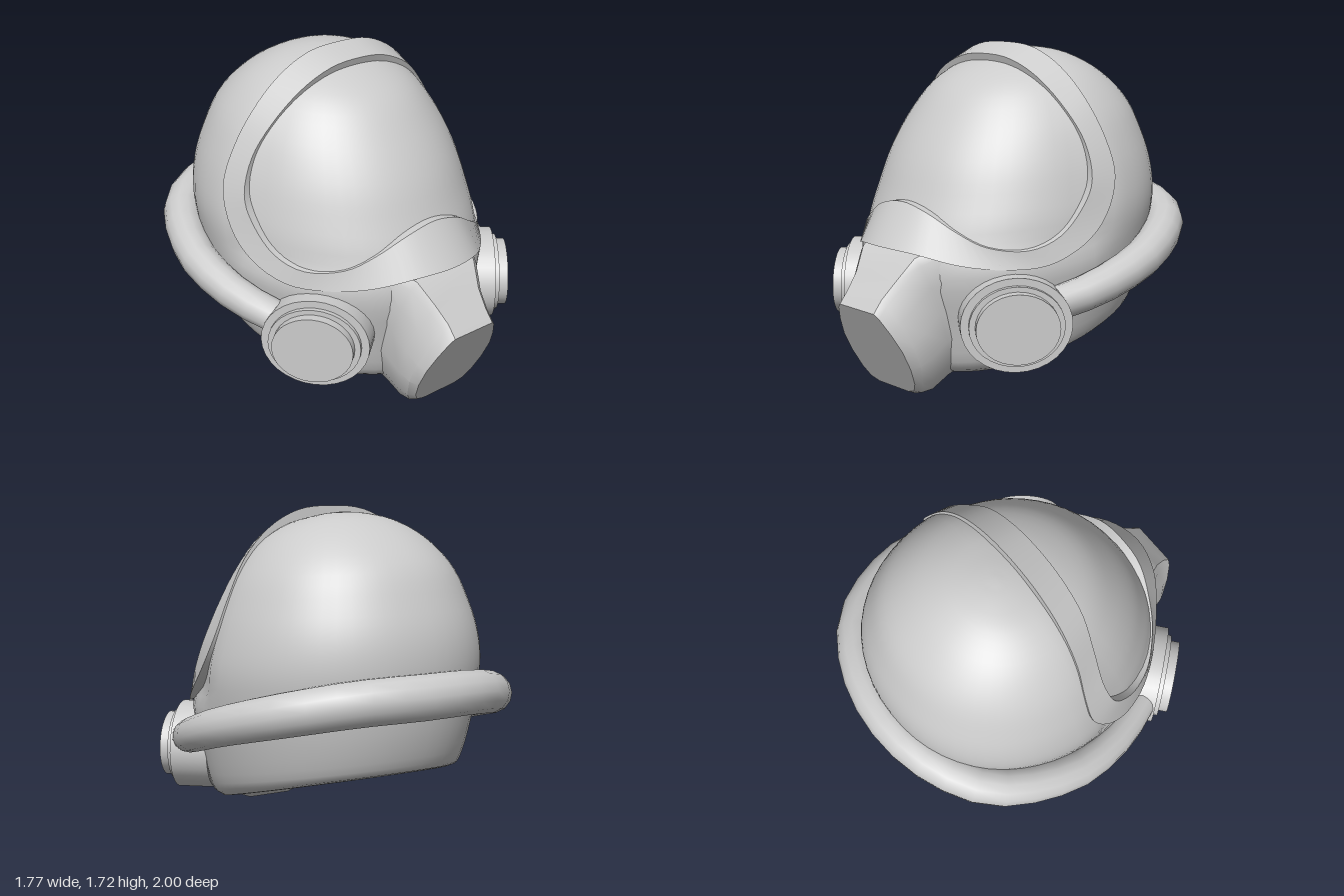
import * as THREE from 'three';
import { toCreasedNormals } from 'three/addons/utils/BufferGeometryUtils.js';

const V = (x, y, z) => new THREE.Vector3(x, y, z);
const grey = new THREE.MeshStandardMaterial({ color: 0xcccccc, side: THREE.DoubleSide });

// Skin a list of closed rings of points; optionally join the last ring to the first
function loft(rings, joinEnds = false, crease = 0.6) {
  const n = rings[0].length, m = rings.length, index = [];
  for (let i = 0; i < (joinEnds ? m : m - 1); i++) {
    for (let j = 0; j < n; j++) {
      const a = i * n + j, b = i * n + (j + 1) % n;
      const d = ((i + 1) % m) * n + j, c = ((i + 1) % m) * n + (j + 1) % n;
      index.push(a, b, c, a, c, d);
    }
  }
  const g = new THREE.BufferGeometry().setFromPoints(rings.flat());
  g.setIndex(index);
  return toCreasedNormals(g, crease);
}

function add(parent, name, geometry) {
  const mesh = new THREE.Mesh(geometry, grey);
  mesh.name = name;
  parent.add(mesh);
  return mesh;
}

// Tilted oval ring given by its front and back points and half width
function ovalRing(zf, yf, zb, yb, w, lift = 0) {
  const ring = [], zc = (zf + zb) / 2, zr = (zf - zb) / 2;
  for (let j = 0; j < 56; j++) {
    const a = j / 56 * Math.PI * 2, s = Math.sin(a), c = Math.cos(a);
    const e = c > 0 ? 1 : 2 / 2.15;
    let x = w * Math.sign(s) * Math.abs(s) ** e;
    const k = Math.sign(c) * Math.abs(c) ** e;
    const y = (yf + yb) / 2 + k * (yf - yb) / 2 + lift, z = zc + k * zr;
    // visor area sits slightly inside the shell
    x *= 1 - 0.055 * THREE.MathUtils.smoothstep(z, -0.1, 0.08) * THREE.MathUtils.smoothstep(y, 0.65, 0.8);
    ring.push(V(x, y, z));
  }
  return ring;
}

function shellGeometry() {
  // front z, front y, back z, back y, half width
  const rows = [
    [0.57, 0.07, -0.72, 0.415, 0.58], [0.65, 0.13, -0.77, 0.45, 0.635], [0.71, 0.35, -0.82, 0.61, 0.685],
    [0.765, 0.60, -0.85, 0.80, 0.725], [0.72, 0.80, -0.865, 0.95, 0.735], [0.655, 0.97, -0.85, 1.10, 0.71],
    [0.58, 1.15, -0.80, 1.25, 0.66], [0.47, 1.33, -0.71, 1.43, 0.575], [0.33, 1.50, -0.56, 1.57, 0.445],
    [0.15, 1.61, -0.40, 1.655, 0.285], [-0.04, 1.67, -0.27, 1.685, 0.12], [-0.155, 1.69, -0.156, 1.69, 0.001],
  ];
  const front = new THREE.CatmullRomCurve3(rows.map(r => V(r[4], r[1], r[0])), false, 'catmullrom', 0.5);
  const back = new THREE.CatmullRomCurve3(rows.map(r => V(r[4], r[3], r[2])), false, 'catmullrom', 0.5);
  // recessed neck lining and its rim
  const rings = [
    ovalRing(-0.07, 0.33, -0.071, 0.33, 0.001),
    ovalRing(0.51, 0.09, -0.67, 0.40, 0.53, 0.08),
    ovalRing(0.51, 0.09, -0.67, 0.40, 0.53),
    ovalRing(0.54, 0.075, -0.70, 0.407, 0.555),
  ];
  for (let i = 0; i <= 40; i++) {
    const f = front.getPoint(i / 40), b = back.getPoint(i / 40);
    rings.push(ovalRing(f.z, f.y, b.z, b.y, f.x));
  }
  return loft(rings, false, 0.7);
}

// Raised band running around the visor opening
function rimGeometry() {
  const outer = [
    [0, 1.72, -0.04], [0.2, 1.70, -0.045], [0.38, 1.61, -0.055], [0.53, 1.46, -0.075], [0.64, 1.27, -0.105],
    [0.715, 1.08, -0.10], [0.745, 0.9, 0], [0.73, 0.77, 0.15], [0.66, 0.685, 0.33], [0.54, 0.67, 0.5],
    [0.38, 0.69, 0.66], [0.2, 0.74, 0.79], [0, 0.755, 0.84],
  ];
  const inner = [
    [0, 1.665, 0.11], [0.18, 1.645, 0.105], [0.36, 1.56, 0.09], [0.51, 1.41, 0.05], [0.62, 1.25, 0.025],
    [0.69, 1.08, 0.05], [0.70, 0.95, 0.13], [0.67, 0.82, 0.26], [0.595, 0.76, 0.41], [0.46, 0.775, 0.55],
    [0.33, 0.84, 0.63], [0.17, 0.93, 0.69], [0, 0.965, 0.70],
  ];
  const closed = pts => {
    const half = pts.map(p => V(...p));
    const other = half.slice(1, -1).reverse().map(p => V(-p.x, p.y, p.z));
    return new THREE.CatmullRomCurve3([...half, ...other], true, 'catmullrom', 0.5);
  };
  const o = closed(outer), i = closed(inner), centre = V(0, 0.95, -0.1), rings = [];
  for (let k = 0; k < 96; k++) {
    const a = o.getPoint(k / 96), b = i.getPoint(k / 96);
    rings.push([a, b, b.clone().lerp(centre, 0.09), a.clone().lerp(centre, 0.13)]);
  }
  return loft(rings, true);
}

// Snout: rings from inside the shell out to the slanted flat face
function muzzleGeometry() {
  const side = [[0.13, 0], [0.155, 0.05], [0.195, 0.22], [0.225, 0.42], [0.225, 0.65], [0.2, 0.85], [0.165, 0.96], [0.11, 1]];
  const outline = [...side.map(([x, s]) => [-x, s]), ...side.slice().reverse()];
  // top z, top y, bottom z, bottom y, top width scale, side width scale
  const rows = [
    [0.66, 0.78, 0.46, 0.10, 2.0, 1.35], [0.79, 0.72, 0.57, 0.05, 1.5, 1.22], [0.875, 0.61, 0.67, 0.0, 1.15, 1.16],
    [0.95, 0.53, 0.735, 0.0, 1.0, 1.12], [1.0, 0.47, 0.77, 0.015, 1, 1], [0.885, 0.243, 0.885, 0.243, 0, 0],
  ];
  return loft(rows.map(([zt, yt, zb, yb, wt, ws]) => outline.map(([x, s]) =>
    V(x * THREE.MathUtils.lerp(wt, ws, Math.min(s / 0.42, 1)), yt + (yb - yt) * s, zt + (zb - zt) * s))), false, 0.5);
}

// Hose around the back of the head, thinner towards its capped ends
function hoseGeometry() {
  const half = [[0.69, 0.495, 0.30], [0.745, 0.53, 0.15], [0.785, 0.585, -0.05], [0.775, 0.66, -0.30], [0.60, 0.76, -0.66], [0.32, 0.81, -0.83]];
  const path = [...half.map(p => V(...p)), V(0, 0.82, -0.885), ...half.slice().reverse().map(([x, y, z]) => V(-x, y, z))];
  const curve = new THREE.CatmullRomCurve3(path), steps = 24;
  const { normals, binormals } = curve.computeFrenetFrames(steps);
  const ring = (i, scale) => {
    const centre = curve.getPointAt(i / steps);
    const r = scale * THREE.MathUtils.mapLinear(centre.z, 0.3, -0.885, 0.085, 0.115);
    return Array.from({ length: 14 }, (_, j) => {
      const a = j / 14 * Math.PI * 2;
      return centre.clone().addScaledVector(normals[i], r * Math.cos(a)).addScaledVector(binormals[i], r * Math.sin(a));
    });
  };
  const rings = [ring(0, 0.001)];
  for (let i = 0; i <= steps; i++) rings.push(ring(i, 1));
  rings.push(ring(steps, 0.001));
  return loft(rings, false, 0.7);
}

// Oval filter drum with stepped cap; local +y is the outward axis
function filter(sign) {
  const g = new THREE.Group();
  g.name = sign > 0 ? 'leftFilter' : 'rightFilter';
  const disc = (name, rx, ry, from, to) => {
    const m = add(g, name, new THREE.CylinderGeometry(1, 1, to - from, 32));
    m.scale.set(rx, 1, ry);
    m.position.y = (from + to) / 2;
  };
  disc('filterDrum', 0.275, 0.237, -0.2, 0);
  disc('filterStep', 0.235, 0.2, 0, 0.025);
  disc('filterCap', 0.205, 0.175, 0.025, 0.075);
  const axis = V(0.77 * sign, 0, 0.64).normalize();
  const across = V(0, 1, 0).cross(axis);
  g.quaternion.setFromRotationMatrix(new THREE.Matrix4().makeBasis(across, axis, V(0, -1, 0)));
  g.position.set(0.62 * sign, 0.412, 0.515);
  return g;
}

export function createModel() {
  const model = new THREE.Group();
  model.name = 'helmet';
  add(model, 'shell', shellGeometry());
  add(model, 'visorRim', rimGeometry());
  add(model, 'muzzle', muzzleGeometry());
  add(model, 'hose', hoseGeometry());
  model.add(filter(1), filter(-1));
  return model;
}
